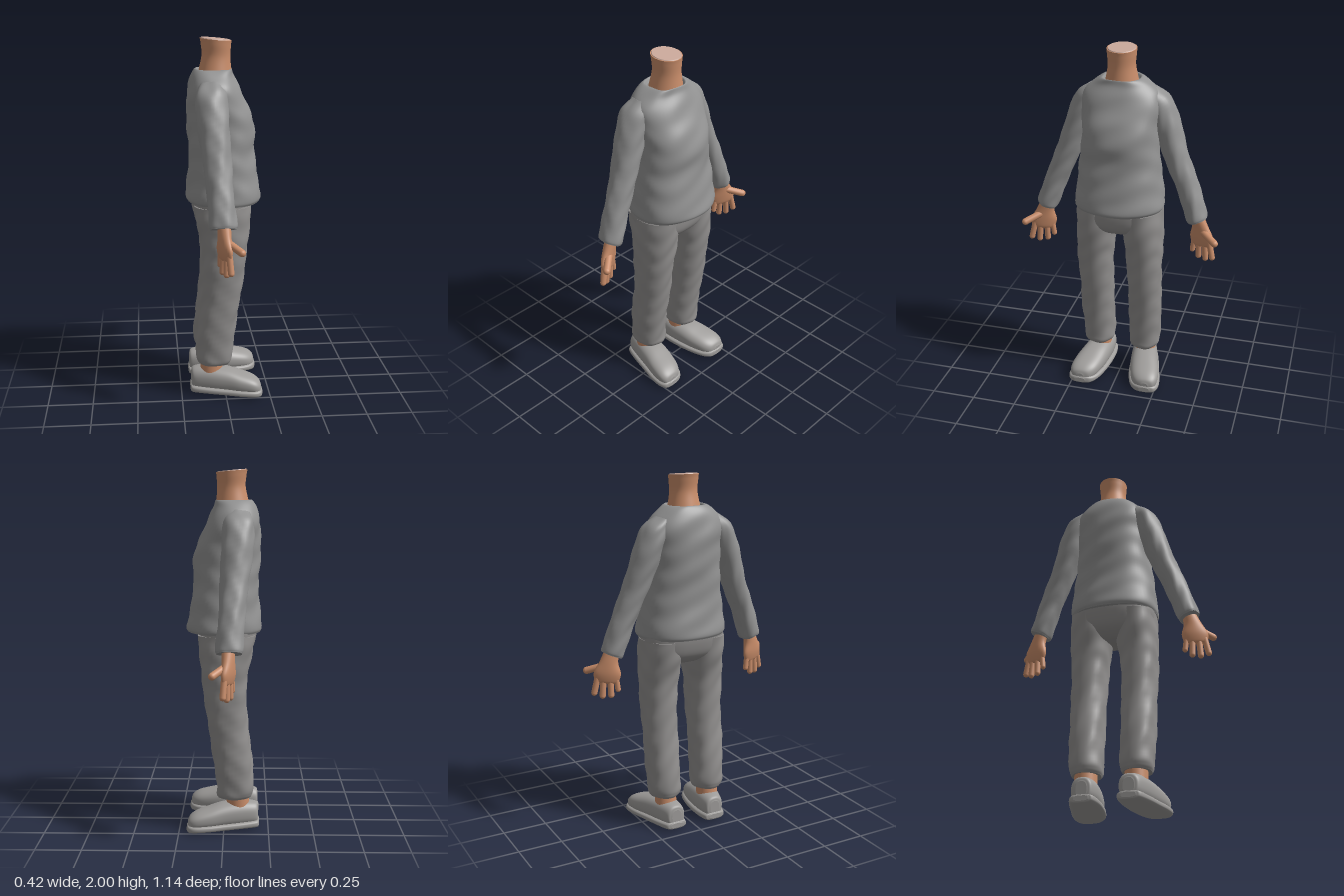
import * as THREE from 'three';

const mat = (name, color) => {
  const m = new THREE.MeshStandardMaterial({ color });
  m.name = name;
  return m;
};
const V = (a) => new THREE.Vector3(...a);

// Smooth tube of superellipse rings; each section is [x, y, z, radiusU, radiusV]
function loft(sections, { u = [1, 0, 0], v = [0, 0, 1], n = 2, seg = 40, steps = 6, wrinkle = 0 } = {}) {
  const centres = new THREE.CatmullRomCurve3(sections.map((s) => V(s)), false, 'catmullrom');
  const radii = new THREE.CatmullRomCurve3(sections.map((s) => V([s[3], s[4], 0])), false, 'catmullrom');
  const U = V(u), W = V(v);
  const along = V(sections.at(-1)).sub(V(sections[0]));
  const flip = U.clone().cross(W).dot(along) < 0 ? -1 : 1;
  const rows = (sections.length - 1) * steps;
  const pos = [], idx = [];
  const power = (t) => Math.sign(t) * Math.abs(t) ** (2 / n);
  const ring = (t) => {
    const c = centres.getPoint(t), r = radii.getPoint(t);
    for (let j = 0; j < seg; j++) {
      const a = (j / seg) * Math.PI * 2, ca = power(Math.cos(a)), sa = power(Math.sin(a));
      const k = wrinkle * (Math.sin(c.y * 47 + 3 * Math.sin(a * 2)) + Math.sin(a * 5 + c.y * 19));
      const p = c.clone().addScaledVector(U, ca * (r.x + k)).addScaledVector(W, flip * sa * (r.y + k));
      pos.push(p.x, p.y, p.z);
    }
  };
  for (let i = 0; i <= rows; i++) ring(i / rows);
  for (let i = 0; i < rows; i++) {
    for (let j = 0; j < seg; j++) {
      const a = i * seg + j, b = i * seg + ((j + 1) % seg);
      idx.push(a, b, b + seg, a, b + seg, a + seg);
    }
  }
  // End caps have their own rings so their rims stay crisp
  for (const end of [0, 1]) {
    const start = pos.length / 3;
    ring(end);
    const c = centres.getPoint(end);
    pos.push(c.x, c.y, c.z);
    for (let j = 0; j < seg; j++) {
      const a = start + j, b = start + ((j + 1) % seg);
      end ? idx.push(a, b, start + seg) : idx.push(b, a, start + seg);
    }
  }
  const g = new THREE.BufferGeometry();
  g.setAttribute('position', new THREE.Float32BufferAttribute(pos, 3));
  g.setIndex(idx);
  g.computeVertexNormals();
  return g;
}

// Round-ended digit between two points
function digit(from, to, radius) {
  const a = V(from), b = V(to), d = b.clone().sub(a);
  const g = new THREE.CapsuleGeometry(radius, d.length(), 6, 14);
  g.applyQuaternion(new THREE.Quaternion().setFromUnitVectors(V([0, 1, 0]), d.clone().normalize()));
  const m = a.add(b).multiplyScalar(0.5);
  return g.translate(m.x, m.y, m.z);
}

export function createModel() {
  const model = new THREE.Group();
  const shirt = mat('shirt grey', 0x929292);
  const trousers = mat('trouser grey', 0x918f8e);
  const shoe = mat('shoe grey', 0x9e9c9a);
  const skin = mat('skin', 0xc98d6a);
  const pale = mat('pale neck top', 0xcaa99b);
  const add = (parent, name, geometry, material) => {
    const m = new THREE.Mesh(geometry, material);
    m.name = name;
    parent.add(m);
  };

  // Jumper body, from collar down to the hem
  add(model, 'jumperBody', loft([
    [-0.05, 1.815, 0, 0.085, 0.09],
    [-0.052, 1.832, 0, 0.1, 0.108],
    [-0.06, 1.8, 0, 0.115, 0.158],
    [-0.055, 1.75, 0, 0.135, 0.205],
    [-0.045, 1.68, 0, 0.155, 0.218],
    [-0.025, 1.6, 0, 0.175, 0.212],
    [-0.012, 1.5, 0, 0.187, 0.21],
    [-0.012, 1.4, 0, 0.18, 0.22],
    [-0.005, 1.3, 0, 0.187, 0.232],
    [-0.002, 1.2, 0, 0.2, 0.243],
    [0, 1.135, 0, 0.21, 0.25],
    [0, 1.112, 0, 0.202, 0.243],
  ], { n: 2.3, seg: 56, wrinkle: 0.0022 }), shirt);

  // Neck with a slanting top
  const slant = [1, -0.09, 0];
  add(model, 'neck', loft([
    [-0.045, 1.78, 0, 0.098, 0.098],
    [-0.042, 1.83, 0, 0.088, 0.086],
    [-0.038, 1.9, 0, 0.078, 0.075],
    [-0.039, 1.96, 0, 0.082, 0.079],
    [-0.04, 1.988, 0, 0.086, 0.081],
  ], { u: slant }), skin);
  add(model, 'neckTop', loft([
    [-0.04, 1.987, 0, 0.082, 0.077],
    [-0.04, 1.992, 0, 0.079, 0.074],
  ], { u: slant, steps: 1 }), pale);

  // Trouser seat
  add(model, 'trouserSeat', loft([
    [-0.02, 1.16, 0, 0.165, 0.238],
    [-0.015, 1.08, 0, 0.163, 0.24],
    [-0.01, 1.01, 0, 0.145, 0.225],
    [-0.005, 0.965, 0, 0.1, 0.15],
    [-0.005, 0.95, 0, 0.05, 0.07],
  ], { n: 2.5 }), trousers);

  for (const s of [1, -1]) {
    const side = s > 0 ? 'left' : 'right';
    const Z = (list) => list.map(([x, y, z, ...r]) => [x, y, z * s, ...r]);

    // Sleeve
    add(model, side + 'Sleeve', loft(Z([
      [-0.07, 1.765, 0.14, 0.07, 0.045],
      [-0.077, 1.7, 0.197, 0.085, 0.066],
      [-0.073, 1.58, 0.243, 0.086, 0.074],
      [-0.058, 1.4, 0.305, 0.077, 0.067],
      [-0.045, 1.22, 0.378, 0.07, 0.063],
      [-0.036, 1.08, 0.427, 0.074, 0.061],
      [-0.035, 1.05, 0.438, 0.068, 0.056],
    ]), { v: [0, 0.37, 0.93 * s], wrinkle: 0.0018 }), shirt);

    // Hand, palm forward with the thumb outward
    const hand = new THREE.Group();
    hand.name = side + 'Hand';
    model.add(hand);
    add(hand, 'palm', loft(Z([
      [-0.03, 1.075, 0.43, 0.034, 0.04],
      [-0.03, 1.01, 0.452, 0.032, 0.05],
      [-0.03, 0.95, 0.462, 0.029, 0.073],
      [-0.028, 0.905, 0.466, 0.021, 0.066],
      [-0.028, 0.89, 0.466, 0.012, 0.05],
    ]), { u: [0.92, 0, -0.38 * s], v: [0.38, 0.1, 0.92 * s], seg: 28 }), skin);
    [
      [-0.05, [-0.05, 0.852, 0.41], 0.015],
      [-0.018, [-0.04, 0.823, 0.447], 0.017],
      [0.018, [-0.022, 0.82, 0.49], 0.017],
      [0.05, [-0.002, 0.838, 0.53], 0.017],
    ].forEach(([k, tip, r], i) => add(hand, 'finger' + (i + 1), digit(
      [-0.028 + 0.38 * k, 0.925, (0.465 + 0.92 * k) * s], [tip[0], tip[1], tip[2] * s], r), skin));
    add(hand, 'thumb', digit([-0.01, 0.985, 0.475 * s], [0.052, 0.953, 0.548 * s], 0.02), skin);

    // Trouser leg
    add(model, side + 'TrouserLeg', loft(Z([
      [-0.015, 1.1, 0.128, 0.155, 0.113],
      [-0.01, 1.0, 0.131, 0.147, 0.115],
      [-0.003, 0.9, 0.138, 0.13, 0.109],
      [-0.005, 0.8, 0.143, 0.12, 0.102],
      [-0.02, 0.6, 0.143, 0.109, 0.096],
      [-0.048, 0.4, 0.143, 0.106, 0.094],
      [-0.062, 0.25, 0.139, 0.104, 0.09],
      [-0.06, 0.205, 0.138, 0.1, 0.087],
      [-0.06, 0.185, 0.138, 0.09, 0.078],
    ]), { n: 2.2, wrinkle: 0.0022 }), trousers);

    // Ankle
    add(model, side + 'Ankle', loft(Z([
      [-0.075, 0.25, 0.137, 0.062, 0.06],
      [-0.08, 0.12, 0.137, 0.064, 0.062],
    ])), skin);

    // Shoe upper and sole: [x, z, half width, top, bottom]
    const foot = [
      [-0.193, 0.125, 0.03, 0.125, 0.04],
      [-0.18, 0.126, 0.055, 0.149, 0.025],
      [-0.1, 0.135, 0.074, 0.161, 0.018],
      [0, 0.152, 0.083, 0.153, 0.014],
      [0.08, 0.17, 0.086, 0.132, 0.012],
      [0.15, 0.185, 0.078, 0.11, 0.012],
      [0.188, 0.193, 0.055, 0.086, 0.014],
      [0.2, 0.196, 0.022, 0.062, 0.02],
    ];
    const across = { u: [0, 0, 1], v: [0, 1, 0] };
    add(model, side + 'ShoeUpper', loft(
      foot.map(([x, z, w, t, b]) => [x, (t + b) / 2, z * s, w, (t - b) / 2]),
      { ...across, n: 2.4 }), shoe);
    add(model, side + 'ShoeSole', loft(
      foot.map(([x, z, w], i) => {
        const end = i === 0 || i === foot.length - 1;
        return [x * 1.03, 0.034 - 0.03 * (x + 0.2), z * s, w + 0.009, end ? 0.014 : 0.023];
      }), { ...across, n: 3 }), shoe);
  }
  return model;
}
